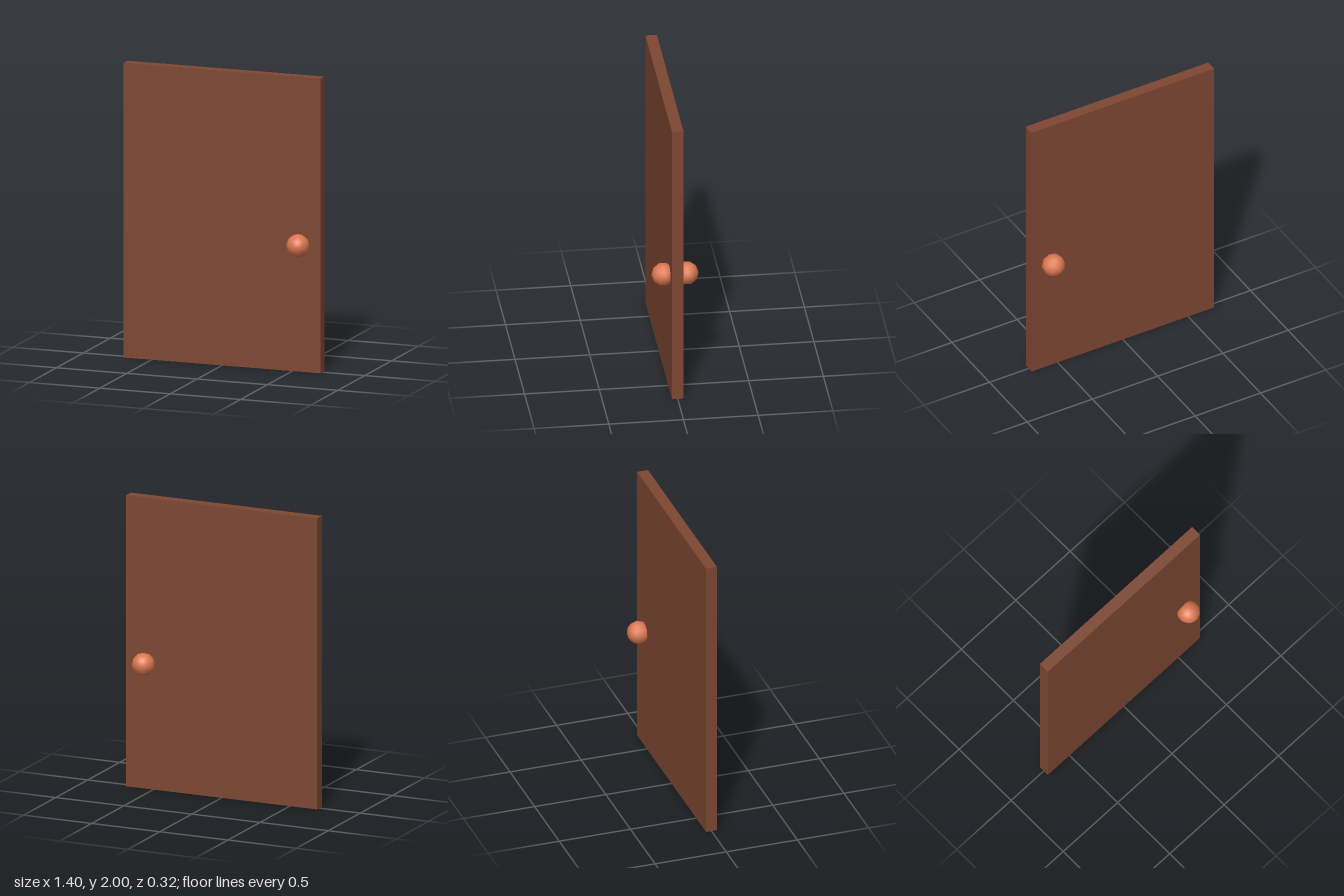
import * as THREE from 'three';

export function createModel() {
  const model = new THREE.Group();
  model.name = 'door';

  // Plain slab panel standing on the ground
  const panel = new THREE.Mesh(
    new THREE.BoxGeometry(1.4, 2, 0.077),
    new THREE.MeshStandardMaterial({ color: 0x7d4733 })
  );
  panel.name = 'doorPanel';
  panel.position.y = 1;
  model.add(panel);

  // Low-poly round knobs, one on each face, turned so a vertex points up
  const knobGeometry = new THREE.IcosahedronGeometry(0.079, 1);
  knobGeometry.rotateZ(-Math.atan(2 / (1 + Math.sqrt(5))));
  const knobMaterial = new THREE.MeshStandardMaterial({ color: 0xdd7850 });
  for (const [name, side] of [['frontKnob', 1], ['backKnob', -1]]) {
    const knob = new THREE.Mesh(knobGeometry, knobMaterial);
    knob.name = name;
    knob.position.set(0.555, 0.864, side * 0.079);
    model.add(knob);
  }

  return model;
}
